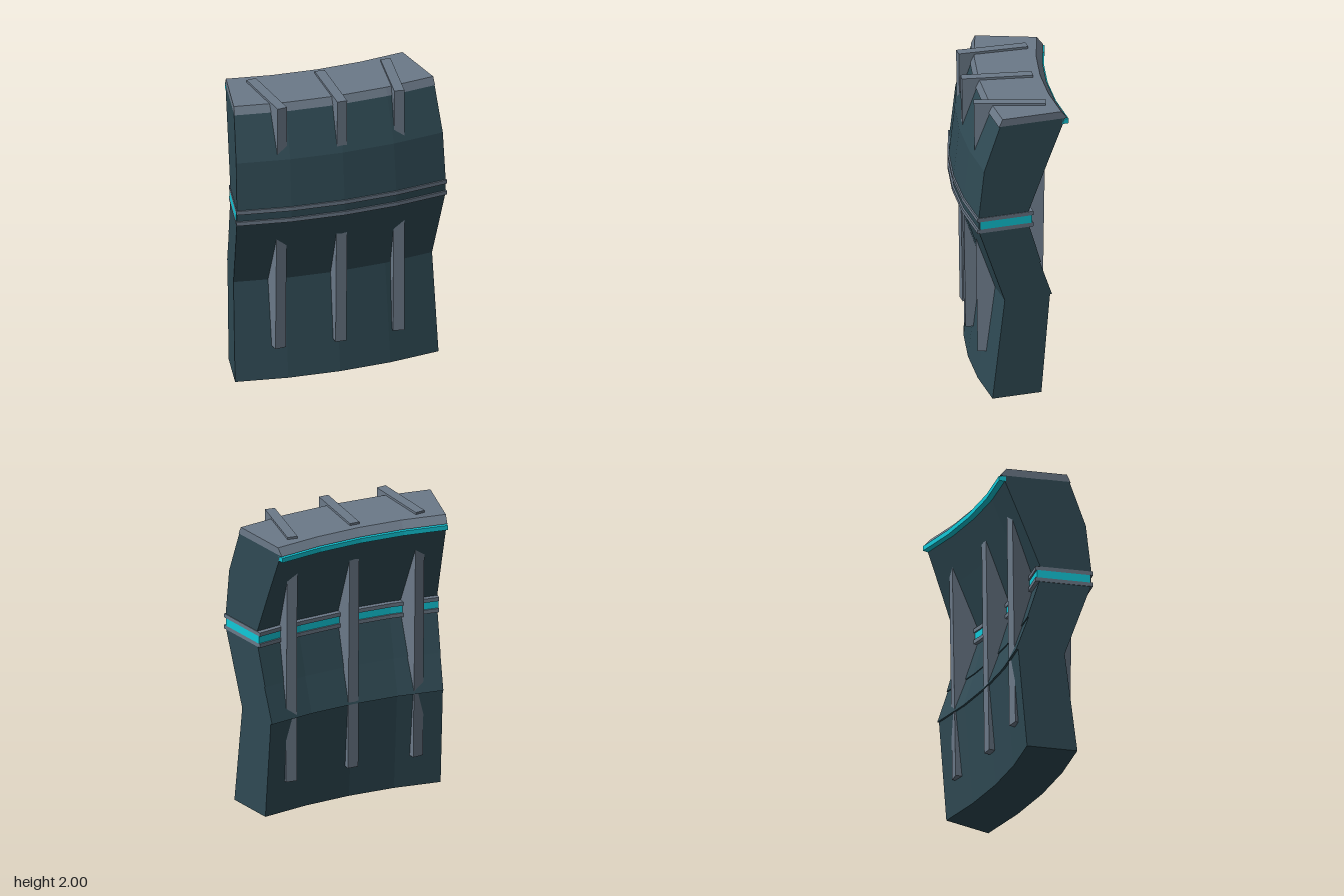
import * as THREE from 'three';

const R0 = 3.355;                                // distance from the model centre to the arc's axis
const HALF = THREE.MathUtils.degToRad(11.25);    // half of the arc covered by the wall

const mat = (name, color) => {
  const m = new THREE.MeshStandardMaterial({ color });
  m.name = name;
  return m;
};

// radius of a front point (given at the middle) and of a back point (given at the ends)
const front = (z, y) => new THREE.Vector2(z + R0, y);
const back = (z, y) => new THREE.Vector2((z + R0) / Math.cos(HALF), y);

// sweep a radius/height profile along the arc in four flat facets
function sweep(name, points, material, half = HALF) {
  const geo = new THREE.ExtrudeGeometry(new THREE.Shape(points), { depth: 1, steps: 4, bevelEnabled: false });
  const p = geo.attributes.position;
  for (let i = 0; i < p.count; i++) {
    const r = p.getX(i), a = (p.getZ(i) * 2 - 1) * half;
    p.setXYZ(i, -r * Math.sin(a), p.getY(i), r * Math.cos(a) - R0);
  }
  geo.computeVertexNormals();
  const mesh = new THREE.Mesh(geo, material);
  mesh.name = name;
  return mesh;
}

// rectangular band between two heights
const band = (name, zf, zb, y0, y1, material, half) =>
  sweep(name, [back(zb, y0), front(zf, y0), front(zf, y1), back(zb, y1)], material, half);

// upright slab, a little shallower and wider at the foot
function ribGeometry() {
  const y0 = 0.23, y1 = 2.0;
  const geo = new THREE.BoxGeometry(2, y1 - y0, 2);
  geo.translate(0, (y0 + y1) / 2, 0);
  const p = geo.attributes.position;
  for (let i = 0; i < p.count; i++) {
    const top = p.getY(i) > 1;
    p.setX(i, p.getX(i) * (top ? 0.034 : 0.038));
    p.setZ(i, p.getZ(i) * (top ? 0.235 : 0.21));
  }
  geo.computeVertexNormals();
  return geo;
}

export function createModel() {
  const model = new THREE.Group();
  model.name = 'wallSegment';
  const panel = mat('darkTeal', 0x2f4a54);
  const trim = mat('slateGrey', 0x6b7988);
  const glow = mat('cyan', 0x10c8d8);

  // pinched wall body with two small ledges at the back
  model.add(sweep('wallBody', [
    back(-0.16, 0), front(0.24, 0), front(0.155, 0.69), front(0.332, 1.2), front(0.335, 1.3),
    front(0.297, 1.63), front(0.187, 1.935),
    back(-0.322, 1.935), back(-0.2, 1.63), back(-0.072, 1.3), back(-0.078, 1.2),
    back(-0.158, 0.93), back(-0.15, 0.93), back(-0.232, 0.69), back(-0.218, 0.69),
  ], panel));

  // top cap with sloped edges
  model.add(sweep('topCap', [
    back(-0.336, 1.935), front(0.195, 1.932), front(0.17, 1.985), back(-0.295, 1.985),
  ], trim));

  // light strip under the rear edge of the cap
  model.add(sweep('rearLightStrip', [
    back(-0.345, 1.895), back(-0.3, 1.895), back(-0.3, 1.928), back(-0.345, 1.928),
  ], glow));

  // waist belt: two grey rails around a light band
  const beltHalf = HALF + 0.0012;
  model.add(band('lowerRail', 0.345, -0.105, 1.195, 1.222, trim, beltHalf));
  model.add(band('waistLight', 0.325, -0.095, 1.222, 1.275, glow, beltHalf));
  model.add(band('upperRail', 0.345, -0.105, 1.275, 1.302, trim, beltHalf));

  // three ribs running through the wall
  const ribGeo = ribGeometry();
  const r = R0 + 0.05;
  for (const [name, a] of [['rightRib', -HALF * 0.65], ['middleRib', 0], ['leftRib', HALF * 0.65]]) {
    const rib = new THREE.Mesh(ribGeo, trim);
    rib.name = name;
    rib.position.set(r * Math.sin(a), 0, r * Math.cos(a) - R0);
    rib.rotation.y = -a;
    model.add(rib);
  }
  return model;
}
